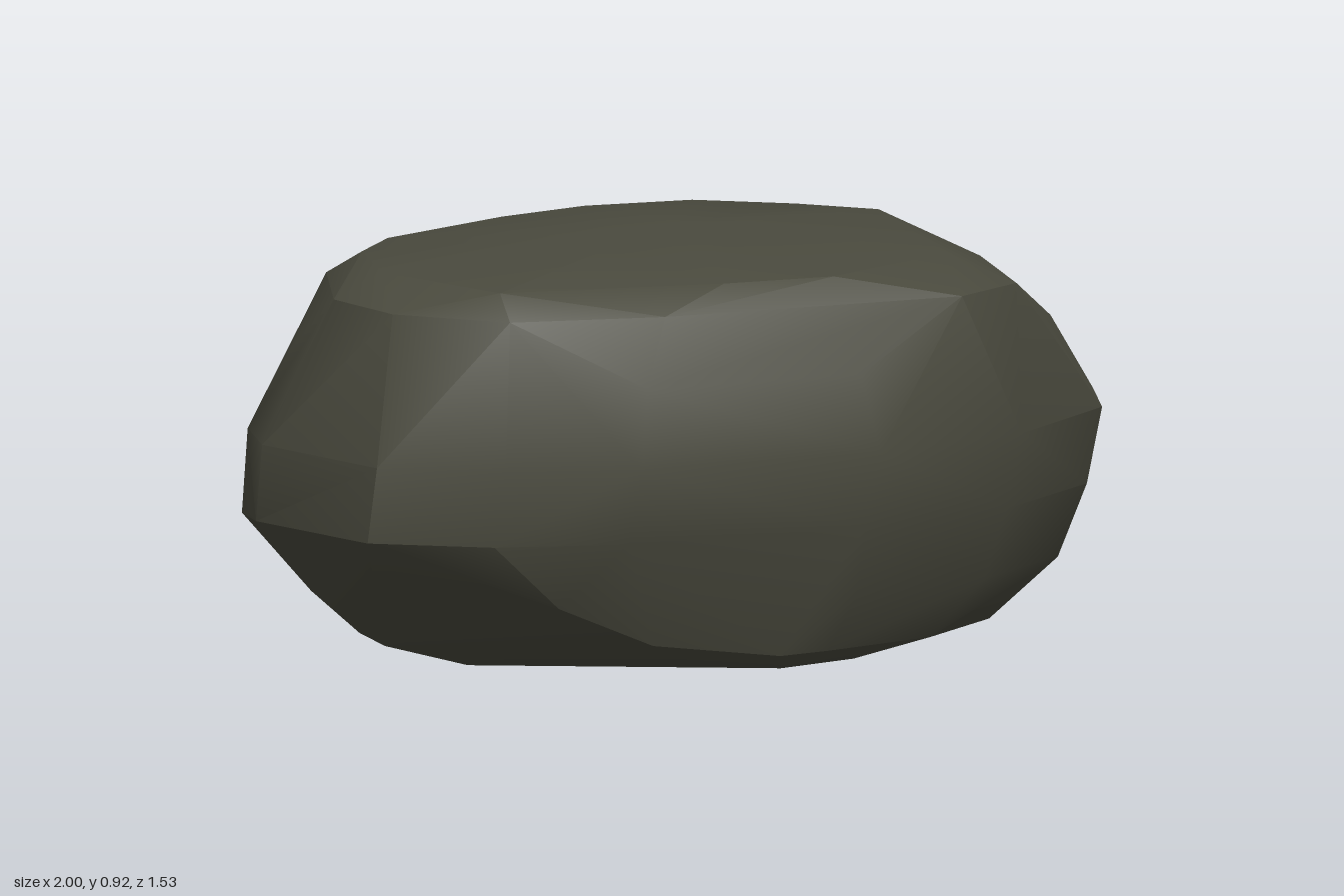
import * as THREE from 'three';
import { toCreasedNormals } from 'three/addons/utils/BufferGeometryUtils.js';
import { ConvexGeometry } from 'three/addons/geometries/ConvexGeometry.js';

// Widest outline of the boulder as [x, z] corners, apart from its front left bulge
const waist = [
  [1, 0.05], [0.97, -0.2], [0.83, -0.42], [0.7, -0.5], [0.02, -0.77], [-0.39, -0.59], [-0.6, -0.45], [-0.77, -0.23],
  [-0.94, -0.04], [-0.98, 0.18], [0.28, 0.72], [0.66, 0.57], [0.94, 0.29],
];
const bulge = [[-0.84, 0.56], [-0.59, 0.71], [-0.29, 0.765]];

// Chipped rim just below the top
const shoulder = [
  [0.69, -0.33], [0.3, -0.61], [0.04, -0.66], [-0.35, -0.53], [-0.72, -0.15], [-0.82, 0.2],
  [-0.76, 0.43], [-0.55, 0.62], [-0.2, 0.655], [0.51, 0.6], [0.68, 0.47], [0.72, 0.1],
];

// Flat top
const plateau = [
  [0.6, -0.25], [0.45, -0.38], [0.25, -0.5], [0, -0.5], [-0.22, -0.42], [-0.55, -0.23], [-0.66, -0.08], [-0.71, 0.2],
  [-0.55, 0.55], [-0.04, 0.585], [0.22, 0.57], [0.56, 0.35],
];

// Corners of the uneven underside as [x, y, z]
const underside = [
  [0.8, 0.38, -0.44], [0.68, 0.22, -0.47], [0.5, 0.05, -0.42],
  [-0.4, 0.3, -0.6], [-0.62, 0.3, -0.46], [-0.8, 0.3, -0.25], [-0.95, 0.33, -0.05],
  [-0.76, 0.09, 0.2], [-0.7, 0.19, 0.44], [-0.45, 0.2, 0.66], [-0.22, 0.1, 0.63], [0.08, 0.06, 0.62],
];

// One level of corners: an outline scaled, shifted and set at height y
function level(outline, y, scaleX = 1, scaleZ = 1, shiftX = 0, shiftZ = 0) {
  return outline.map(([x, z]) => new THREE.Vector3(x * scaleX + shiftX, y, z * scaleZ + shiftZ));
}

export function createModel() {
  const stone = new THREE.MeshStandardMaterial({ color: 0x4a4a3e });
  stone.name = 'dark olive stone';

  // The sides and underside round in from the waist to a small flat foot
  const fullWaist = [...waist, ...bulge];
  const points = [
    ...level(waist, 0, 0.51, 0.48, 0, 0.09),
    ...level(waist, 0.06, 0.72, 0.69, 0, 0.09),
    ...level(waist, 0.19, 0.89, 0.83, 0, 0.05),
    ...level(fullWaist, 0.35, 0.99, 0.955, -0.025, 0.01),
    ...level(fullWaist, 0.52),
    ...level(fullWaist, 0.69, 0.9, 0.925, 0, 0.005),
    ...level(shoulder, 0.84),
    ...level(plateau, 0.895),
    ...level(plateau, 0.915, 0.3, 0.3),
    ...underside.map((corner) => new THREE.Vector3(...corner)),
  ];

  // Boulder: a hull over all levels, softly shaded with creases at sharp edges
  const boulder = new THREE.Mesh(toCreasedNormals(new ConvexGeometry(points), 0.55), stone);
  boulder.name = 'boulder';

  const group = new THREE.Group();
  group.name = 'rock';
  group.add(boulder);
  return group;
}
